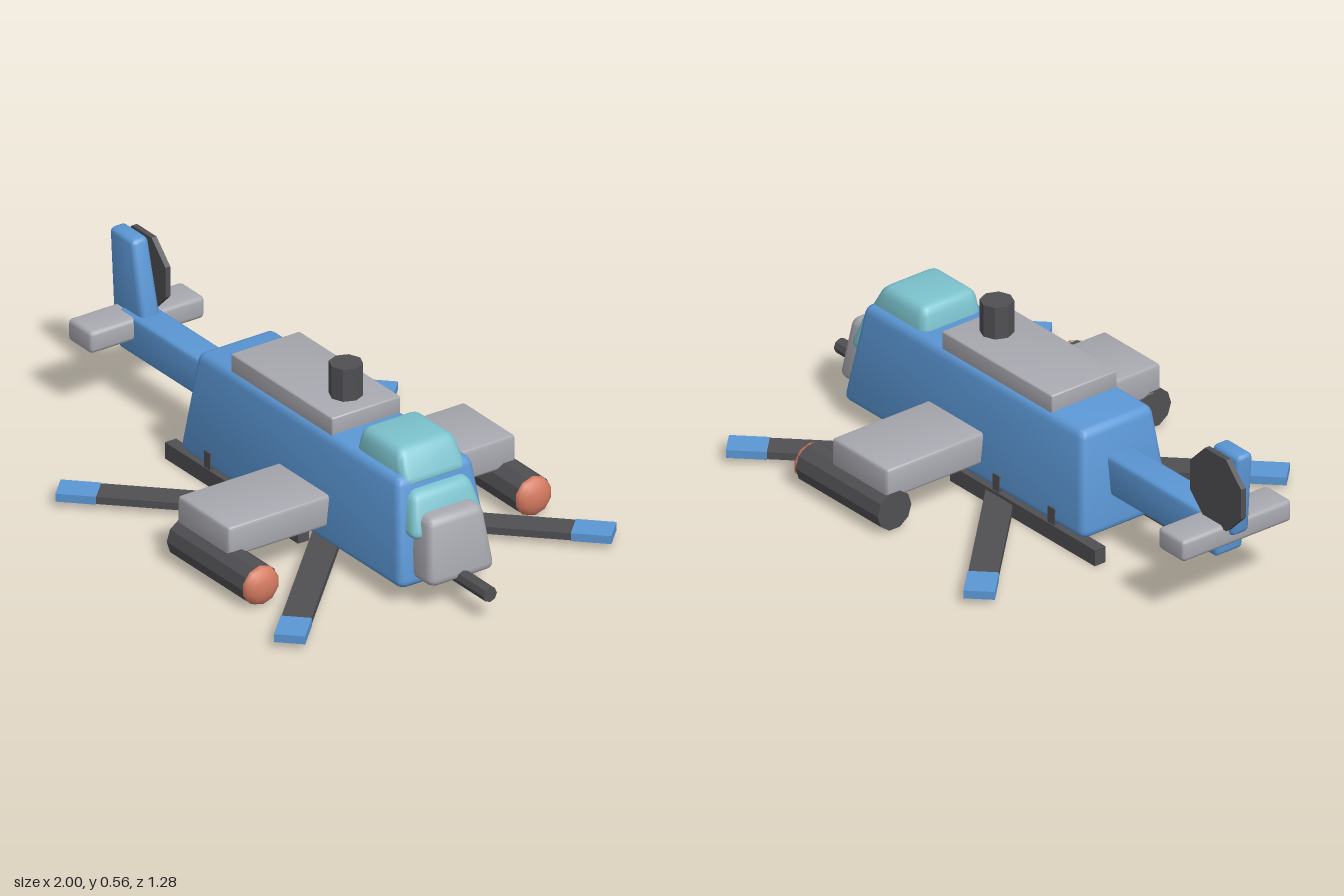
import * as THREE from 'three';
import { RoundedBoxGeometry } from 'three/addons/geometries/RoundedBoxGeometry.js';
import { toCreasedNormals } from 'three/addons/utils/BufferGeometryUtils.js';

const paint = (name, color) => {
  const m = new THREE.MeshStandardMaterial({ color });
  m.name = name;
  return m;
};

export function createModel() {
  const model = new THREE.Group();
  model.name = 'helicopter';
  const blue = paint('blue', 0x5b97d5);
  const grey = paint('light grey', 0xa9a9b1);
  const dark = paint('dark grey', 0x505054);
  const glass = paint('glass', 0x7cc2cd);
  const orange = paint('orange', 0xd67b61);

  const add = (name, geo, mat, parent = model) => {
    const mesh = new THREE.Mesh(geo, mat);
    mesh.name = name;
    parent.add(mesh);
    return mesh;
  };

  // Rounded box tapering from a bottom to a top section, each [x0, x1, half depth]
  const block = (name, mat, y0, y1, bottom, top = bottom, r = 0.015, z = 0) => {
    const w = (bottom[1] - bottom[0] + top[1] - top[0]) / 2;
    const h = y1 - y0, d = bottom[2] + top[2];
    const geo = new RoundedBoxGeometry(w, h, d, 2, r);
    const p = geo.attributes.position;
    for (let i = 0; i < p.count; i++) {
      const t = p.getY(i) / h + 0.5;
      const [x0, x1, hz] = bottom.map((b, k) => THREE.MathUtils.lerp(b, top[k], t));
      p.setXYZ(i, x0 + (p.getX(i) / w + 0.5) * (x1 - x0), y0 + t * h, z + p.getZ(i) / d * 2 * hz);
    }
    return add(name, toCreasedNormals(geo, 0.6), mat);
  };

  const cylinder = (r, length, sides) => toCreasedNormals(new THREE.CylinderGeometry(r, r, length, sides), 0.5);

  // Fuselage, cockpit and nose
  block('fuselage', blue, 0.055, 0.4, [-0.385, 0.78, 0.178], [-0.335, 0.715, 0.14], 0.028);
  block('engineDeck', grey, 0.38, 0.456, [-0.175, 0.355, 0.128], undefined, 0.006);
  block('upperCanopy', glass, 0.36, 0.475, [0.445, 0.735, 0.122], [0.47, 0.67, 0.105], 0.032);
  block('windscreen', glass, 0.215, 0.358, [0.69, 0.803, 0.14], [0.65, 0.753, 0.108], 0.03);
  block('nose', grey, 0.08, 0.296, [0.73, 0.866, 0.125], [0.73, 0.828, 0.1], 0.028);
  add('mast', cylinder(0.053, 0.13, 8), dark).position.set(0.247, 0.5, 0);
  const gun = add('gun', cylinder(0.025, 0.25, 8), dark);
  gun.rotation.z = Math.PI / 2;
  gun.position.set(0.875, 0.087, 0);

  // Tail
  block('tailBoom', blue, 0.165, 0.296, [-0.87, -0.33, 0.054], undefined, 0.015);
  block('stabilizer', grey, 0.218, 0.293, [-0.91, -0.785, 0.213], undefined, 0.015);
  block('tailFin', blue, 0.25, 0.536, [-0.925, -0.755, 0.036], [-0.95, -0.825, 0.03], 0.018);
  const tailRotor = add('tailRotor', new THREE.CylinderGeometry(0.133, 0.133, 0.018, 8).toNonIndexed(), dark);
  tailRotor.geometry.computeVertexNormals();
  tailRotor.geometry.rotateY(Math.PI / 8).rotateX(Math.PI / 2);
  tailRotor.position.set(-0.873, 0.405, -0.048);

  // Wings, weapon pods and skids on both sides
  for (const s of [1, -1]) {
    block('wing', grey, 0.11, 0.215, [0.115, 0.385, 0.205], undefined, 0.012, s * 0.33);

    const pod = new THREE.Group();
    pod.name = 'pod';
    pod.position.set(0, 0.068, s * 0.508);
    model.add(pod);
    const tube = add('podTube', cylinder(0.066, 0.395, 10), dark, pod);
    tube.rotation.z = Math.PI / 2;
    tube.position.x = 0.3125;
    const tip = add('podTip', new THREE.SphereGeometry(0.066, 10, 4, 0, Math.PI * 2, 0, Math.PI / 2), orange, pod);
    tip.geometry.scale(1, 0.55, 1);
    tip.rotation.z = -Math.PI / 2;
    tip.position.x = 0.51;

    add('skid', new THREE.BoxGeometry(0.695, 0.055, 0.042), dark).position.set(-0.0975, 0.0275, s * 0.16);
    for (const x of [-0.23, 0.035]) {
      add('skidStrut', new THREE.BoxGeometry(0.032, 0.08, 0.03), dark).position.set(x, 0.07, s * 0.162);
    }
  }

  // Low four-blade rotor with coloured tips
  const rotor = new THREE.Group();
  rotor.name = 'rotor';
  rotor.position.set(0.195, 0.032, 0);
  model.add(rotor);
  add('rotorHub', cylinder(0.085, 0.058, 8), dark, rotor).position.y = -0.003;
  for (let i = 0; i < 4; i++) {
    const blade = new THREE.Group();
    blade.name = 'blade';
    blade.rotation.y = Math.PI / 4 + i * Math.PI / 2;
    rotor.add(blade);
    add('bladeSpan', new THREE.BoxGeometry(0.73, 0.024, 0.092), dark, blade).position.x = 0.365;
    add('bladeTip', new THREE.BoxGeometry(0.125, 0.027, 0.096), blue, blade).position.x = 0.7925;
  }
  return model;
}
